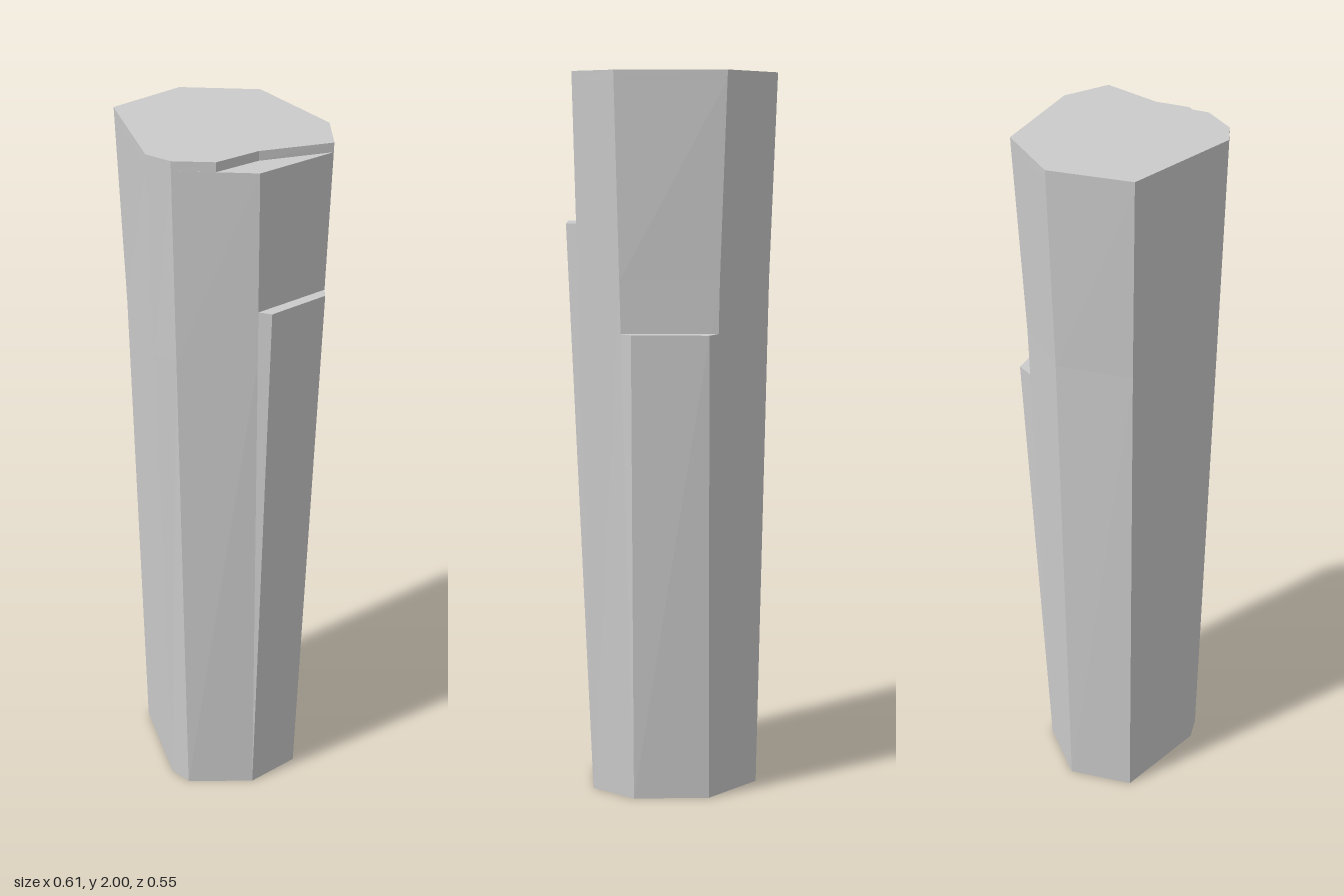
import * as THREE from 'three';

const material = new THREE.MeshStandardMaterial({ color: 0xcccccc, flatShading: true });

// Column corners as [x, z], clockwise seen from above
const bottom = [[-0.255, 0], [-0.185, -0.17], [0, -0.215], [0.185, -0.115],
  [0.245, 0.015], [0.17, 0.155], [-0.005, 0.235], [-0.07, 0.212]];
const top = [[-0.305, 0], [-0.215, -0.205], [-0.012, -0.277], [0.242, -0.122],
  [0.302, 0], [0.19, 0.2], [-0.012, 0.273], [-0.087, 0.258]];

// Corner i at height y; the first three corners flare out more above the bend
const bendY = 1.45;
const corner = (i, y) => {
  const mid = i < 3 ? 0.57 : bendY / 2;
  const t = y < bendY ? mid * y / bendY : mid + (1 - mid) * (y - bendY) / (2 - bendY);
  return [0, 1].map(k => bottom[i][k] + (top[i][k] - bottom[i][k]) * t);
};
const ring = y => bottom.map((_, i) => corner(i, y));

// Flat-sided solid through rings of equal point count: [[y, points], ...]
function loft(name, rings, capBottom = true) {
  const pos = [];
  const tri = (...pts) => pts.forEach(p => pos.push(...p));
  const at = ([y, pts], i) => [pts[i % pts.length][0], y, pts[i % pts.length][1]];
  for (let r = 0; r < rings.length - 1; r++) {
    for (let i = 0; i < rings[r][1].length; i++) {
      const a = at(rings[r], i), b = at(rings[r], i + 1);
      const c = at(rings[r + 1], i), d = at(rings[r + 1], i + 1);
      if (a[0] !== b[0] || a[2] !== b[2]) tri(b, a, c);
      tri(b, c, d);
    }
  }
  const cap = (level, up) => {
    const flat = level[1].map(([x, z]) => new THREE.Vector2(x, -z));
    for (const f of THREE.ShapeUtils.triangulateShape(flat.slice(), [])) {
      const ccw = THREE.ShapeUtils.area(f.map(i => flat[i])) > 0;
      tri(...(ccw === up ? f : [...f].reverse()).map(i => at(level, i)));
    }
  };
  cap(rings[rings.length - 1], true);
  if (capBottom) cap(rings[0], false);
  const geometry = new THREE.BufferGeometry();
  geometry.setAttribute('position', new THREE.Float32BufferAttribute(pos, 3));
  geometry.computeVertexNormals();
  const mesh = new THREE.Mesh(geometry, material);
  mesh.name = name;
  return mesh;
}

// Flared facet growing from a bottom edge out to a ledge at height y
function flare(name, i, y, outerA, outerB) {
  const j = i + 1;
  return loft(name, [
    [0, [bottom[i], bottom[i], bottom[j], bottom[j]]],
    [y, [corner(i, y), outerA, outerB, corner(j, y)]],
  ], false);
}

export function createModel() {
  const group = new THREE.Group();
  group.name = 'facetedColumn';

  // Tapered shaft, up to the floor of the chipped corner
  const chipY = 1.975;
  group.add(loft('shaft', [0, bendY, chipY].map(y => [y, ring(y)])));

  // Thin top slab with its front corner chipped away
  const chipped = pts => [...pts.slice(0, 5), [0.155, 0.127], [0.09, 0.235], ...pts.slice(6)];
  group.add(loft('chippedTop', [[chipY, chipped(ring(chipY))], [2, chipped(top)]]));

  // Ledged facets at the front and back
  group.add(flare('frontLedge', 4, 1.6, [0.305, 0.035], [0.222, 0.187]));
  group.add(flare('backLedge', 2, 1.31, [0.038, -0.272], [0.215, -0.163]));
  return group;
}
